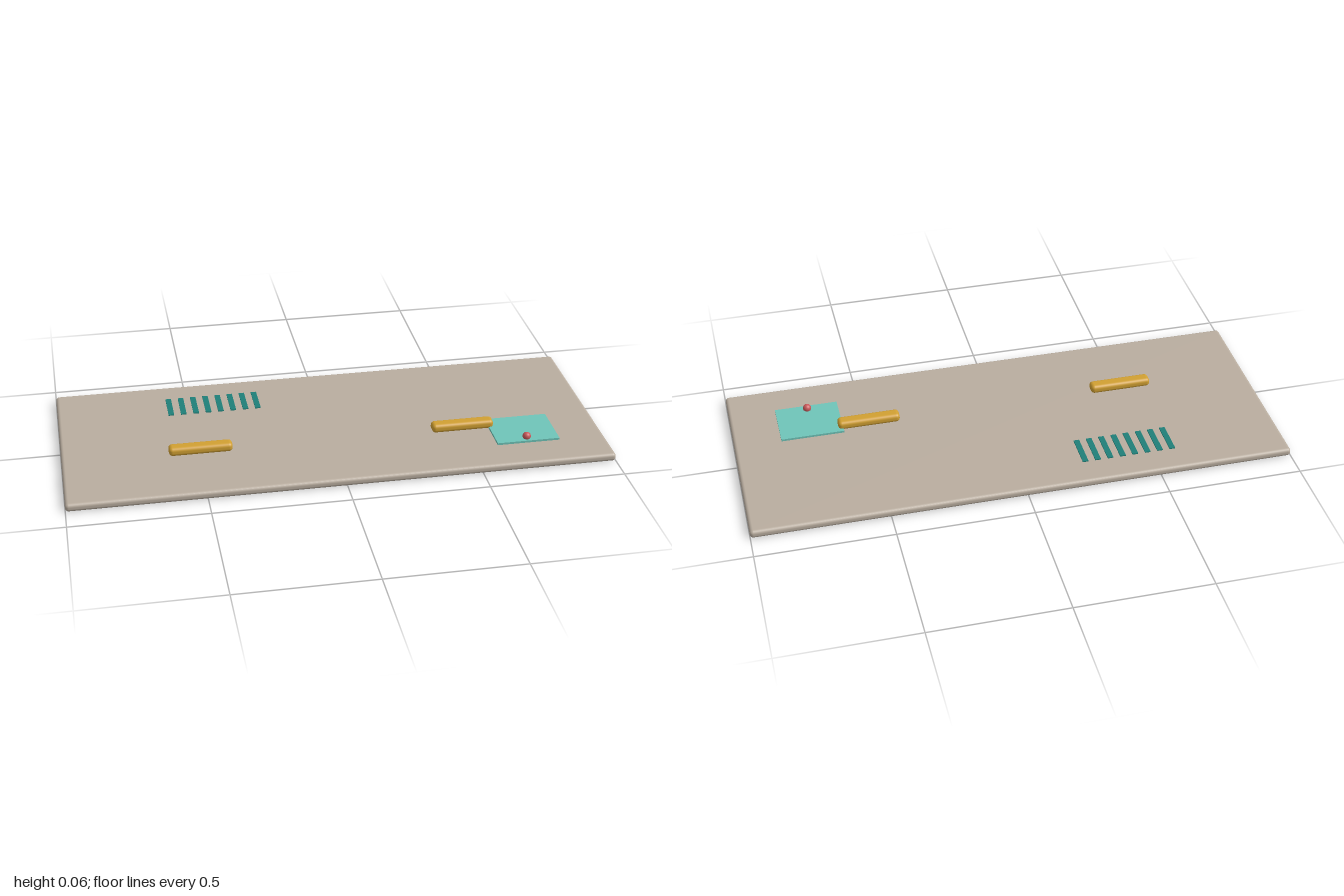
import * as THREE from 'three';
import { RoundedBoxGeometry } from 'three/addons/geometries/RoundedBoxGeometry.js';

const material = (name, color) => {
  const m = new THREE.MeshStandardMaterial({ color });
  m.name = name;
  return m;
};

export function createModel() {
  const model = new THREE.Group();
  model.name = 'panelBoard';

  const stone = material('warm grey', 0xb9ad9f);
  const gold = material('gold', 0xd1a032);
  const aqua = material('aqua', 0x6fc4b8);
  const teal = material('dark teal', 0x1f7f78);
  const red = material('red', 0xc9585a);

  const add = (name, geometry, mat, x, y, z) => {
    const mesh = new THREE.Mesh(geometry, mat);
    mesh.name = name;
    mesh.position.set(x, y, z);
    model.add(mesh);
    return mesh;
  };

  const top = 0.031;

  // Slab with softened edges
  add('slab', new RoundedBoxGeometry(2, top, 0.816, 4, 0.013), stone, 0, top / 2, 0);

  // Two rounded grip bars
  const bar = new RoundedBoxGeometry(0.234, 0.034, 0.048, 4, 0.014);
  add('rightHandle', bar, gold, -0.494, 0.047, 0.118);
  add('leftHandle', bar, gold, 0.49, 0.047, 0.118);

  // Thin plate with a round knob near its front edge
  add('plate', new THREE.BoxGeometry(0.236, 0.012, 0.188), aqua, 0.707, 0.033, 0.174);
  add('knob', new THREE.SphereGeometry(0.0155, 24, 16), red, 0.705, 0.046, 0.245);

  // Row of vent slats
  const slat = new THREE.BoxGeometry(0.021, 0.006, 0.128);
  for (let i = 0; i < 8; i++) {
    add(`ventSlat${i + 1}`, slat, teal, -0.573 + i * 0.0475, 0.032, -0.237);
  }

  return model;
}
